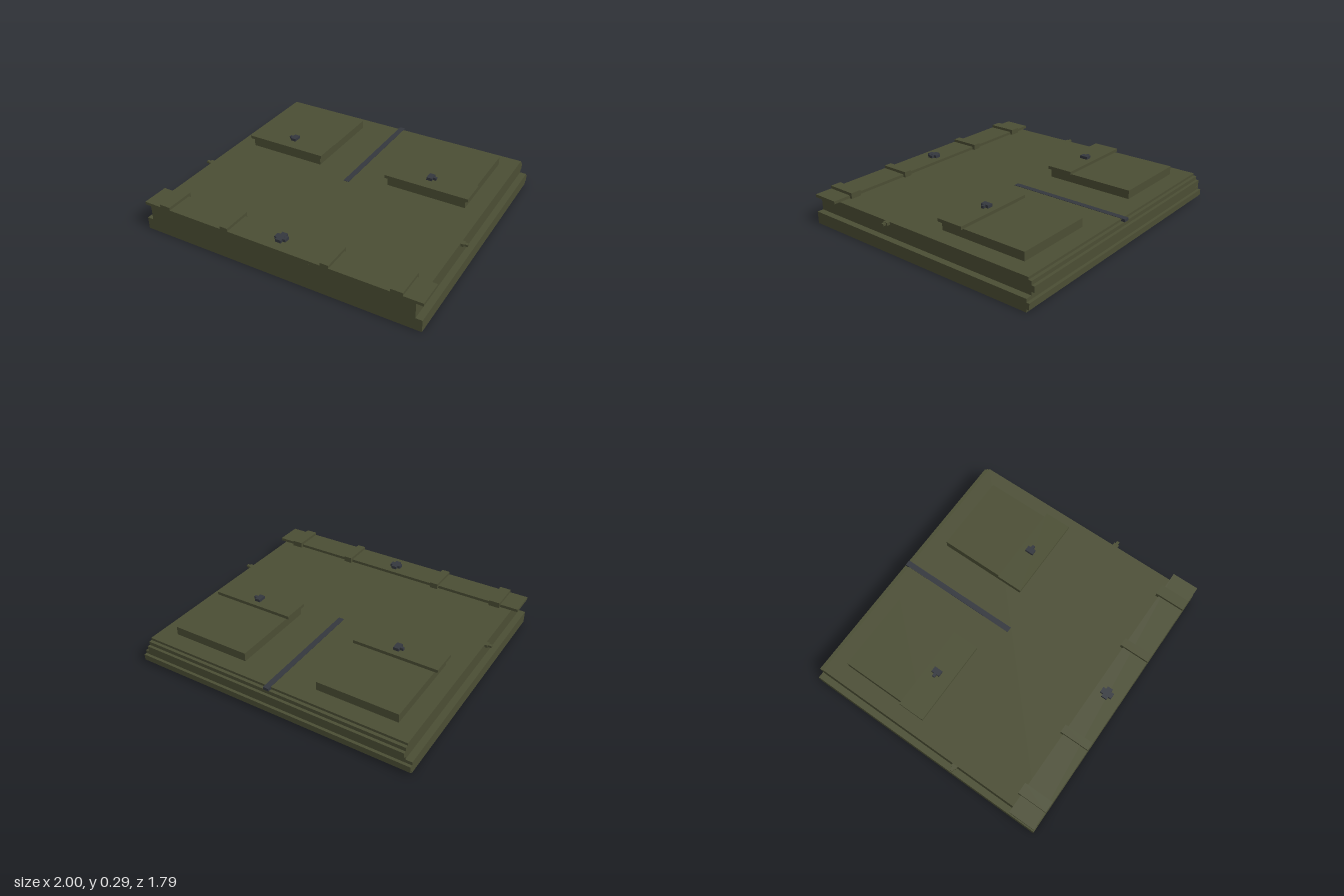
import * as THREE from 'three';

export function createModel() {
  const model = new THREE.Group();
  const olive = new THREE.MeshStandardMaterial({ color: 0x4b4e34 });
  olive.name = 'olive fabric';
  const slate = new THREE.MeshStandardMaterial({ color: 0x34373e });
  slate.name = 'slate hardware';

  // Box given by its min and max on each axis
  function box(name, mat, [x0, x1], [y0, y1], [z0, z1], parent = model) {
    const mesh = new THREE.Mesh(new THREE.BoxGeometry(x1 - x0, y1 - y0, z1 - z0), mat);
    mesh.position.set((x0 + x1) / 2, (y0 + y1) / 2, (z0 + z1) / 2);
    mesh.name = name;
    parent.add(mesh);
    return mesh;
  }

  // Slab made by sweeping a (z, y) side profile across x
  function slab(name, halfWidth, profile) {
    const shape = new THREE.Shape(profile.map(([z, y]) => new THREE.Vector2(-z, y)));
    const geo = new THREE.ExtrudeGeometry(shape, { depth: halfWidth * 2, bevelEnabled: false });
    geo.translate(0, 0, -halfWidth);
    geo.rotateY(Math.PI / 2);
    const mesh = new THREE.Mesh(geo, olive);
    mesh.name = name;
    model.add(mesh);
  }

  // Wide base and narrower upper body, each with a rib along the back
  const front = 0.895, back = -0.875, rib = -0.895;
  slab('base', 1, [
    [front, 0], [back, 0], [back, 0.02], [rib, 0.02], [rib, 0.062],
    [back, 0.062], [back, 0.085], [front, 0.085],
  ]);
  slab('upperBody', 0.955, [
    [front, 0.085], [back, 0.085], [back, 0.107], [rib, 0.107], [rib, 0.147],
    [back, 0.147], [back, 0.173], [-0.853, 0.173], [-0.853, 0.19], [front, 0.19],
  ]);

  // Central strap, ending just over the back edge
  box('centreStrap', slate, [-0.02, 0.02], [0.173, 0.192], [-0.88, 0]);

  // Full-width front flap with four bands and a cross-shaped clasp
  box('frontFlap', olive, [-1, 1], [0.19, 0.21], [0.705, front]);
  for (const s of [-1, 1]) {
    for (const [c, w] of [[0.833, 0.078], [0.364, 0.058]]) {
      box('flapBand', olive, [s * c - w / 2, s * c + w / 2], [0.19, 0.23], [0.685, front]);
    }
  }
  const clasp = new THREE.Group();
  clasp.name = 'frontClasp';
  model.add(clasp);
  box('claspBar', slate, [-0.04, 0.04], [0.21, 0.23], [0.77, 0.81], clasp);
  box('claspPost', slate, [-0.02, 0.02], [0.21, 0.2305], [0.748, 0.832], clasp);

  // Mirrored pouches, buckles and side knobs
  for (const s of [-1, 1]) {
    const side = (a, b) => (s > 0 ? [a, b] : [-b, -a]);
    const pouch = new THREE.Group();
    pouch.name = s > 0 ? 'leftPouch' : 'rightPouch';
    model.add(pouch);
    box('pouchBody', olive, side(0.268, 0.832), [0.19, 0.25], [-0.73, -0.1], pouch);
    box('pouchFlap', olive, side(0.252, 0.853), [0.25, 0.272], [-0.273, -0.085], pouch);
    box('pouchBuckle', slate, side(0.52, 0.56), [0.272, 0.292], [-0.23, -0.17], pouch);
    box('buckleTab', slate, side(0.56, 0.582), [0.272, 0.29], [-0.21, -0.19], pouch);

    box('sideKnob', olive, side(0.955, 0.977), [0.171, 0.19], [0.23, 0.268]);
    box('sideKnobTip', olive, side(0.977, 1), [0.173, 0.188], [0.239, 0.259]);
  }
  return model;
}
